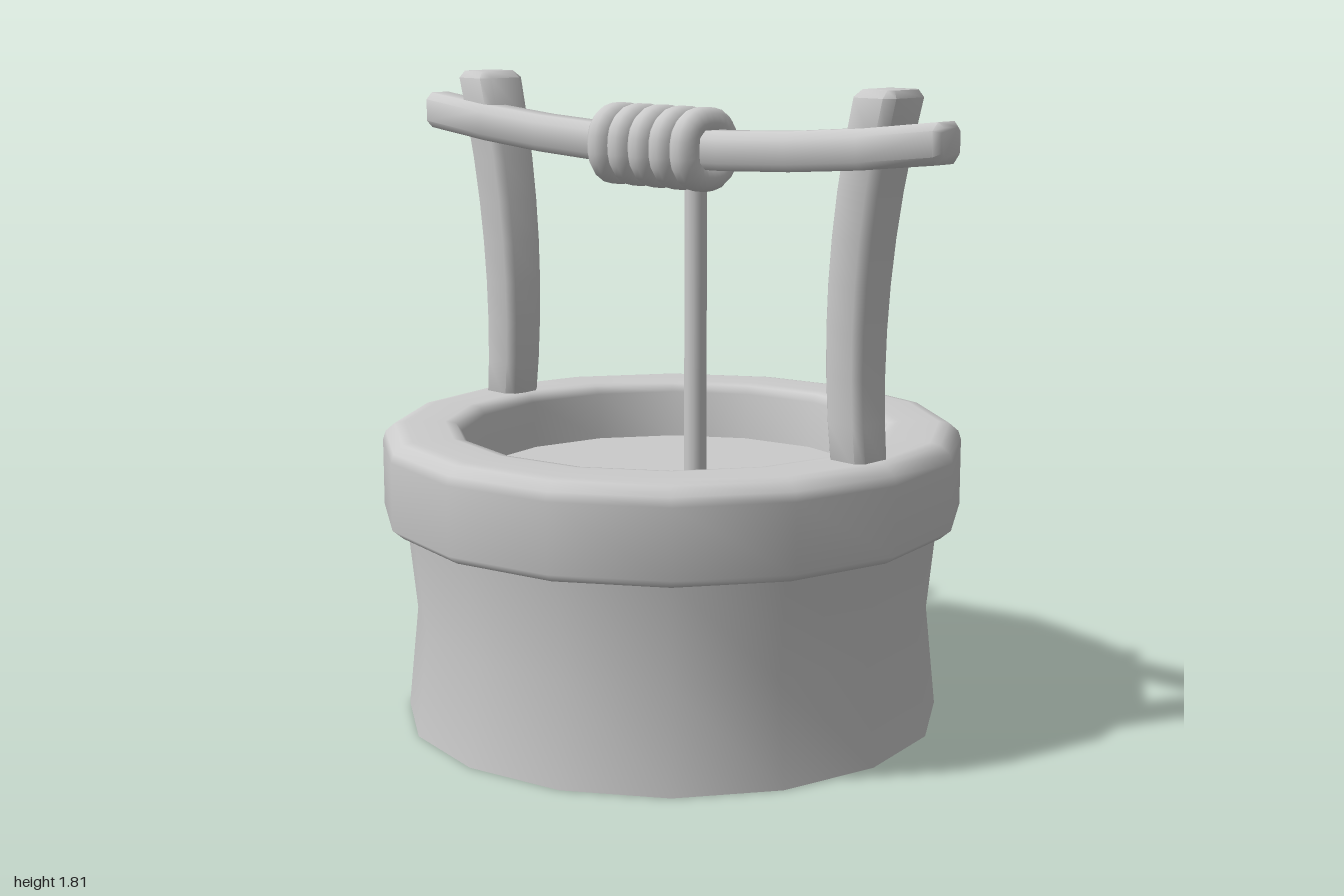
import * as THREE from 'three';
import { toCreasedNormals } from 'three/addons/utils/BufferGeometryUtils.js';

const material = new THREE.MeshStandardMaterial({ color: 0xcccccc, side: THREE.DoubleSide });
const CENTER_X = -0.022;

function addMesh(parent, name, geometry) {
  const mesh = new THREE.Mesh(geometry, material);
  mesh.name = name;
  parent.add(mesh);
  return mesh;
}

// 16-sided turned part from [radius, height] pairs
function turned(points) {
  return new THREE.LatheGeometry(points.map(([r, y]) => new THREE.Vector2(r, y)), 16);
}

// Square timber with chamfered edges and ends, running along z from 0 to length
function timber(half, length, chamfer) {
  const h = half - chamfer;
  const c = chamfer * 0.7;
  const corners = [
    [h, -h + c], [h, h - c], [h - c, h], [-h + c, h],
    [-h, h - c], [-h, -h + c], [-h + c, -h], [h - c, -h],
  ];
  const shape = new THREE.Shape(corners.map(([x, y]) => new THREE.Vector2(x, y)));
  const geometry = new THREE.ExtrudeGeometry(shape, {
    depth: length - 2 * chamfer, steps: 8, bevelEnabled: true,
    bevelThickness: chamfer, bevelSize: chamfer, bevelSegments: 1,
  });
  return geometry.translate(0, 0, chamfer);
}

// Move every vertex by a rule, then refresh the normals
function deform(geometry, rule) {
  const position = geometry.attributes.position;
  const v = new THREE.Vector3();
  for (let i = 0; i < position.count; i++) {
    rule(v.fromBufferAttribute(position, i));
    position.setXYZ(i, v.x, v.y, v.z);
  }
  return toCreasedNormals(geometry, 0.9);
}

// Post that tapers towards its foot and curves outward towards its top
function postGeometry(side) {
  const foot = 0.8, top = 1.815;
  const geometry = timber(0.08, top - foot, 0.02).rotateX(-Math.PI / 2).translate(0, foot, 0);
  return deform(geometry, (v) => {
    const t = (v.y - foot) / (top - foot);
    const bend = (v.y - 1.1) / 0.71;
    v.z *= 0.78 + 0.24 * t;
    v.x = v.x * (0.75 + 0.13 * t) + CENTER_X + side * (0.685 + 0.1 * bend * bend);
  });
}

// One rounded-square turn of rope around the beam
function ropeTurn(x) {
  const a = 0.069, b = 0.04;
  const path = [[a, -b], [a, b], [b, a], [-b, a], [-a, b], [-a, -b], [-b, -a], [b, -a]];
  const curve = new THREE.CatmullRomCurve3(
    path.map(([z, y]) => new THREE.Vector3(x, 1.632 + y, 0.05 + z)), true);
  return new THREE.TubeGeometry(curve, 24, 0.042, 10, true);
}

export function createModel() {
  const well = new THREE.Group();
  well.name = 'well';

  // Wall, open underneath, with a slight waist
  addMesh(well, 'wall', turned([[0.77, 0], [0.74, 0.29], [0.77, 0.58]])).position.x = CENTER_X;

  // Hollow rim with softened edges
  addMesh(well, 'rim', turned([
    [0.765, 0.57], [0.8, 0.575], [0.83, 0.6], [0.83, 0.79], [0.822, 0.815], [0.795, 0.838],
    [0.765, 0.843], [0.65, 0.843], [0.62, 0.838], [0.603, 0.815], [0.592, 0.675],
  ])).position.x = CENTER_X;

  // Water surface
  const water = addMesh(well, 'water',
    new THREE.CircleGeometry(0.594, 16).rotateX(-Math.PI / 2));
  water.position.set(CENTER_X, 0.677, 0);

  // Posts
  addMesh(well, 'leftPost', postGeometry(1));
  addMesh(well, 'rightPost', postGeometry(-1));

  // Sagging beam
  const beam = timber(0.053, 2, 0.016).rotateY(Math.PI / 2).translate(-1, 0, 0.05);
  addMesh(well, 'beam', deform(beam, (v) => { v.y += 1.63 + 0.065 * v.x * v.x; }));

  // Rope wound on the beam, and its hanging end
  const coil = new THREE.Group();
  coil.name = 'ropeCoil';
  for (let i = 0; i < 5; i++) addMesh(coil, 'ropeTurn', ropeTurn(-0.175 + i * 0.082));
  well.add(coil);
  addMesh(well, 'hangingRope', new THREE.CylinderGeometry(0.032, 0.032, 0.92, 10))
    .position.set(0.072, 1.137, 0);

  return well;
}
